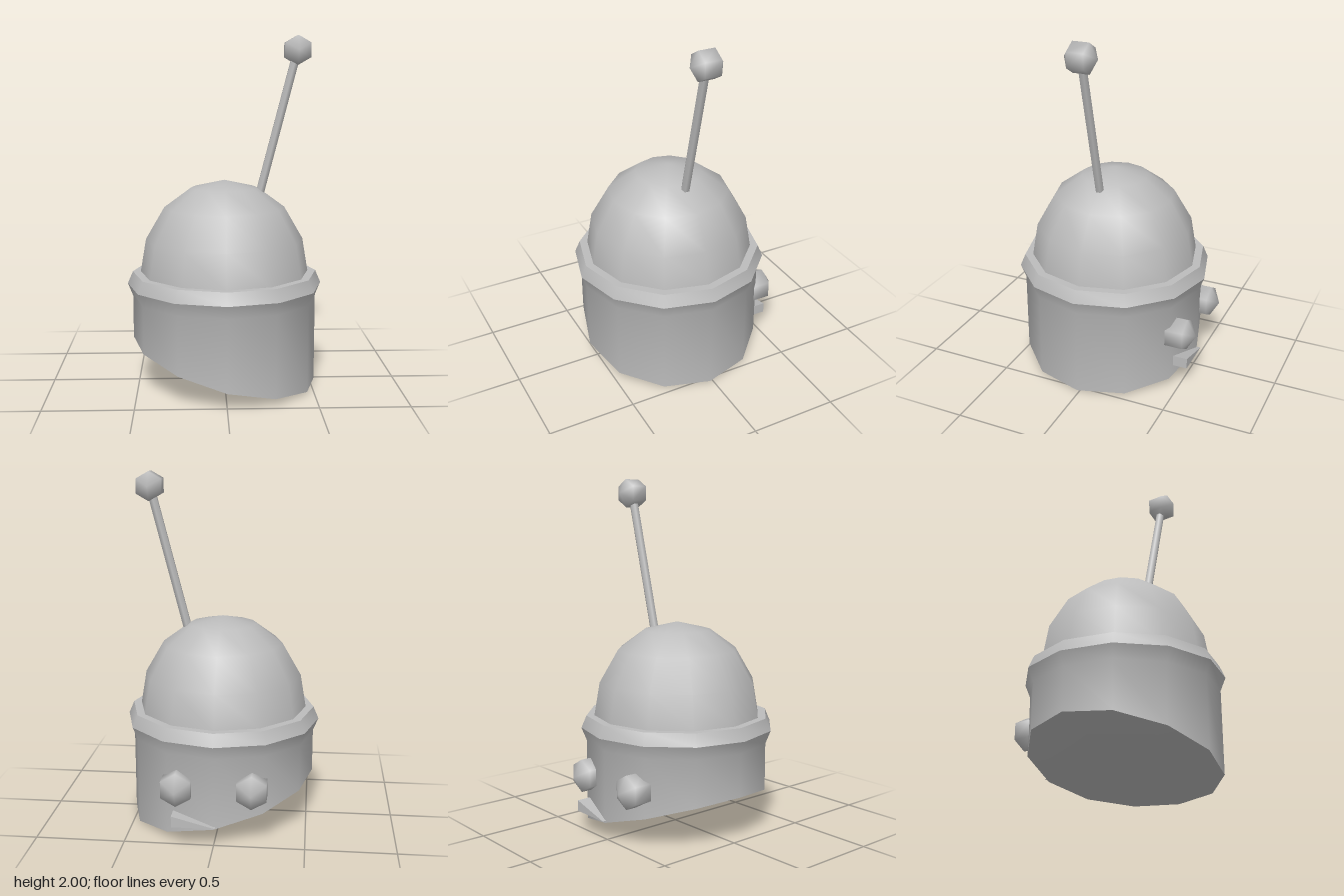
import * as THREE from 'three';
import { toCreasedNormals } from 'three/addons/utils/BufferGeometryUtils.js';

export function createModel() {
  const model = new THREE.Group();
  const grey = new THREE.MeshStandardMaterial({ color: 0xbcbcbc });
  grey.name = 'plain grey';
  const axisZ = 0.015;

  const add = (name, geometry, x = 0, y = 0, z = axisZ) => {
    const mesh = new THREE.Mesh(geometry, grey);
    mesh.name = name;
    mesh.position.set(x, y, z);
    model.add(mesh);
    return mesh;
  };
  const lathe = (profile) =>
    new THREE.LatheGeometry(profile.map(([r, y]) => new THREE.Vector2(r, y)), 12);
  const crease = (geometry) => toCreasedNormals(geometry, 0.7);

  // Body with a slanted underside, flaring out under the rim
  const body = lathe([[0, 0], [0.53, 0], [0.53, 0.51], [0.56, 0.585]]);
  const p = body.attributes.position;
  for (let i = 0; i < p.count; i++) {
    if (p.getY(i) > 0.01) continue;
    const t = p.getX(i) / 0.53;
    p.setY(i, 0.1 - 0.1325 * t + 0.0325 * t * t);
  }
  add('body', crease(body));

  // Bevelled rim and dome
  add('rim', crease(lathe([[0.56, 0.585], [0.53, 0.655], [0.46, 0.655]])));
  add('dome', crease(lathe([
    [0.485, 0.65], [0.452, 0.845], [0.345, 1.03], [0.192, 1.142], [0, 1.187],
  ])));

  // Faceted knobs with their poles along z and a corner pointing up
  const knob = (r) => new THREE.SphereGeometry(r, 6, 3).rotateY(Math.PI / 2).rotateX(Math.PI / 2);

  // Leaning antenna
  const foot = new THREE.Vector3(0.205, 1.115, axisZ);
  const tip = new THREE.Vector3(0.412, 1.918, axisZ);
  const direction = tip.clone().sub(foot);
  const rod = add('antennaRod', new THREE.CylinderGeometry(0.026, 0.026, direction.length(), 6));
  rod.position.copy(foot).lerp(tip, 0.5);
  rod.quaternion.setFromUnitVectors(new THREE.Vector3(0, 1, 0), direction.normalize());
  add('antennaBall', knob(0.095), tip.x, tip.y, tip.z);

  // Pair of knobs on the back
  for (const side of [-1, 1]) {
    add(side > 0 ? 'leftBackKnob' : 'rightBackKnob', knob(0.11), side * 0.207, 0.325, -0.469);
  }

  // Small wedge below the knobs
  const wedge = new THREE.Shape([
    new THREE.Vector2(-0.01, 0.115), new THREE.Vector2(0.23, 0.115), new THREE.Vector2(0.23, 0.178),
  ]);
  add('backWedge', new THREE.ExtrudeGeometry(wedge, { depth: 0.1, bevelEnabled: false }), 0, 0, -0.537);

  return model;
}
